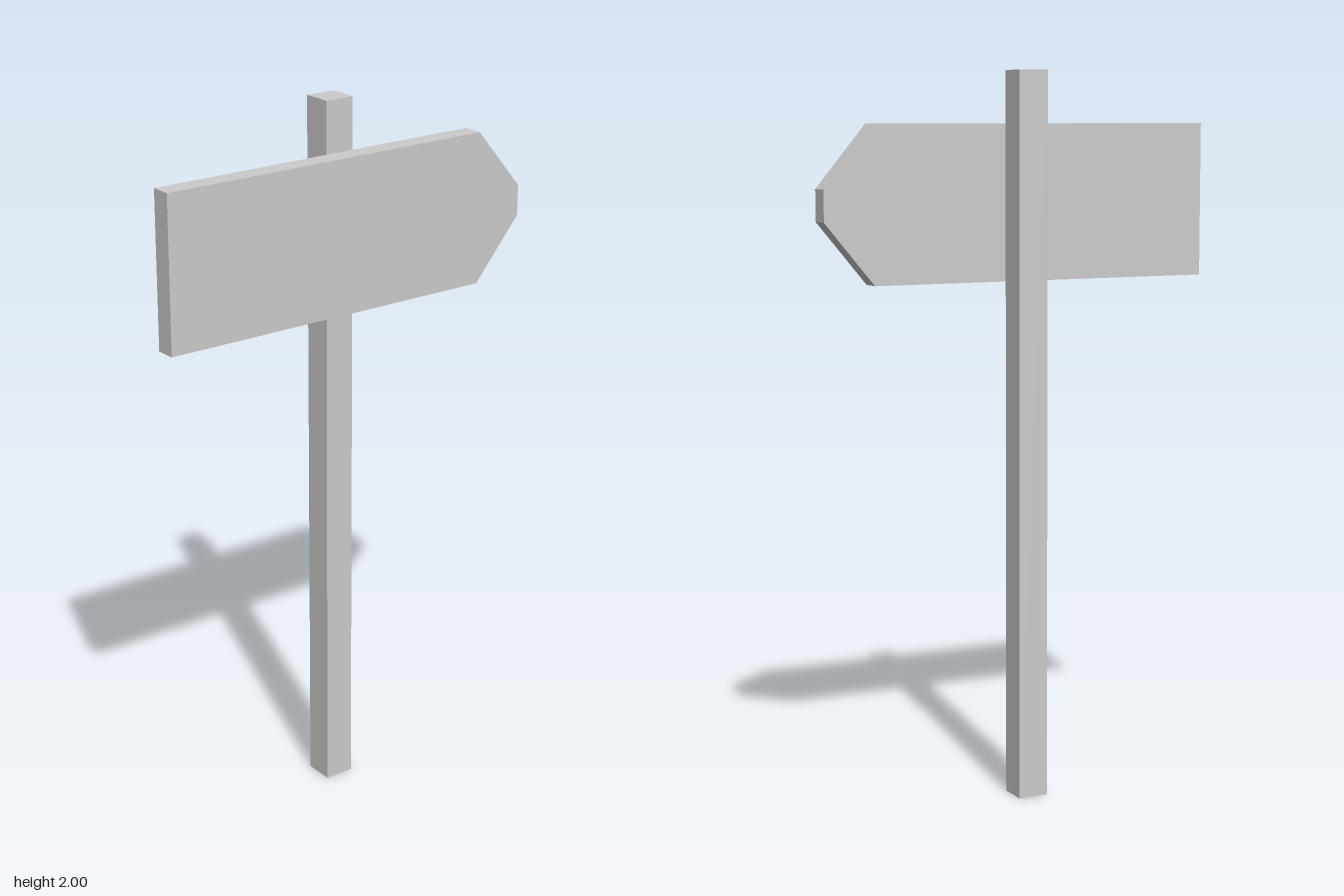
import * as THREE from 'three';

export function createModel() {
  const group = new THREE.Group();
  const material = new THREE.MeshStandardMaterial({ color: 0xcccccc, flatShading: true });
  const back = -0.071, joint = 0.013, front = 0.071;

  // Square post, its front face touching the back of the board
  const post = new THREE.Mesh(new THREE.BoxGeometry(0.085, 2, joint - back), material);
  post.name = 'post';
  post.position.set(0, 1, (back + joint) / 2);
  group.add(post);

  // Board outline with a blunt arrow tip on the +x end
  const outline = new THREE.Shape([
    [-0.571, -0.213], [0.428, -0.213], [0.571, -0.043],
    [0.571, 0.043], [0.428, 0.213], [-0.571, 0.213],
  ].map(([x, y]) => new THREE.Vector2(x, y)));
  const board = new THREE.Mesh(
    new THREE.ExtrudeGeometry(outline, { depth: front - joint, bevelEnabled: false }), material);
  board.name = 'arrowBoard';
  board.position.set(0, 1.645, joint);
  group.add(board);

  return group;
}
